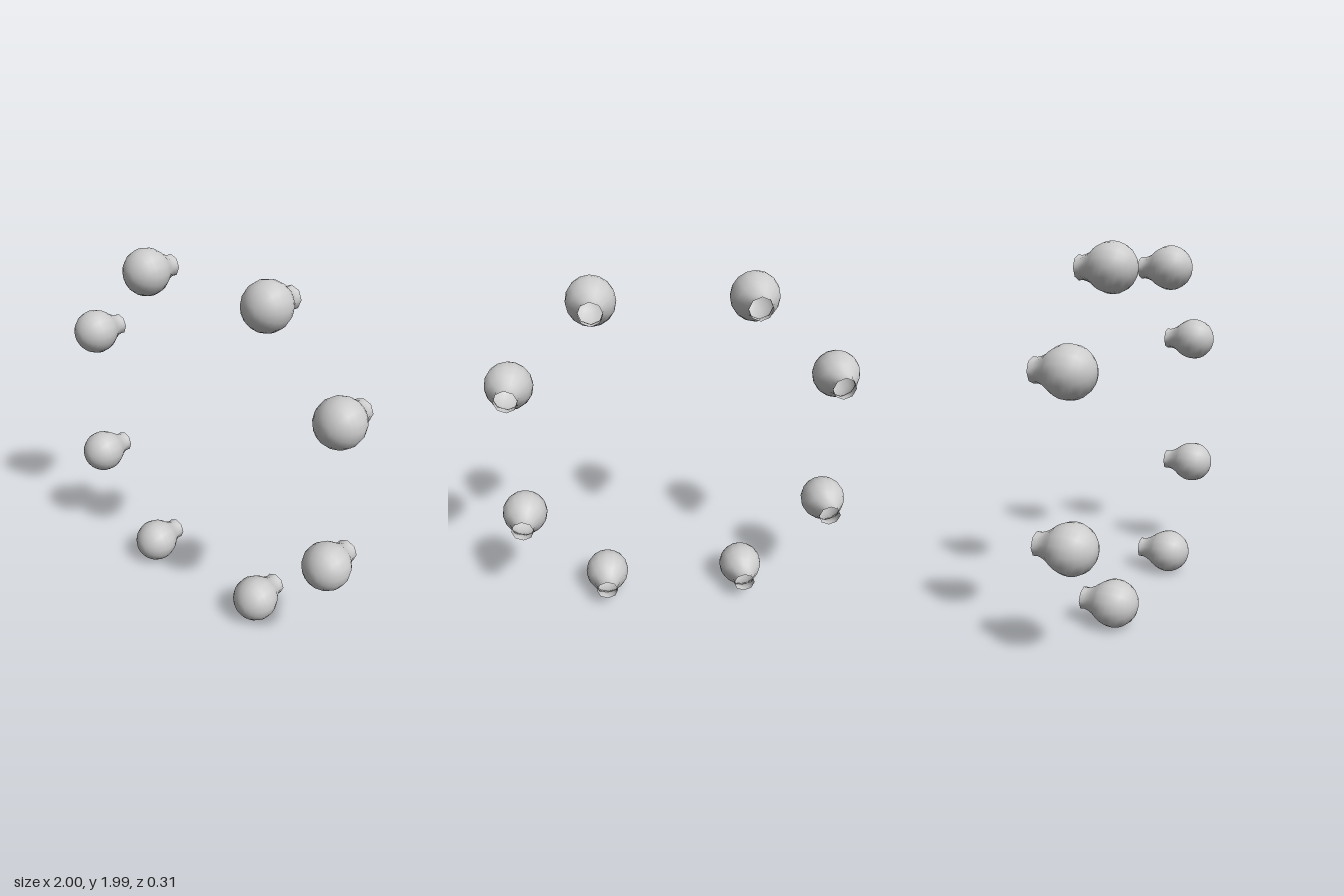
import * as THREE from 'three';
import { mergeVertices } from 'three/addons/utils/BufferGeometryUtils.js';

const SIDES = 16;
const RADIUS = 0.127;
const CENTRE_Z = 0.028;

// Round bulb facing +z, tapering into an open eight-sided neck at the back
function bulbGeometry() {
  const profile = [[0.062, -0.154], [0.06, -0.13], [0.066, -0.108], [0.078, -0.083], [0.098, -0.055]]
    .map(([r, z]) => new THREE.Vector2(r, z));
  const start = -0.5;
  for (let i = 0; i <= 8; i++) {
    const a = start + (Math.PI / 2 - start) * i / 8;
    profile.push(new THREE.Vector2(Math.max(0, RADIUS * Math.cos(a)), CENTRE_Z + RADIUS * Math.sin(a)));
  }
  let geo = new THREE.LatheGeometry(profile, SIDES);

  // Pull every second column in so the neck becomes an octagon
  const pos = geo.attributes.position;
  for (let i = 0; i < pos.count; i++) {
    const column = Math.floor(i / profile.length);
    if (column % 2 === 0) continue;
    const blend = THREE.MathUtils.clamp((-0.06 - pos.getY(i)) / 0.05, 0, 1);
    const s = 1 - blend * (1 - Math.cos(Math.PI / 8));
    pos.setXYZ(i, pos.getX(i) * s, pos.getY(i), pos.getZ(i) * s);
  }

  // Weld the seam for smooth shading
  geo.deleteAttribute('uv');
  geo.deleteAttribute('normal');
  geo = mergeVertices(geo, 1e-5);
  geo.rotateX(Math.PI / 2);
  geo.computeVertexNormals();
  return geo;
}

export function createModel() {
  const model = new THREE.Group();
  model.name = 'bulbRing';
  const geometry = bulbGeometry();
  const material = new THREE.MeshStandardMaterial({ color: 0xcccccc, side: THREE.DoubleSide });

  // Ring of eight bulbs
  const centres = [
    [0.42, 1.865], [0.87, 1.416], [0.87, 0.6], [0.42, 0.13],
    [-0.4, 0.13], [-0.873, 0.6], [-0.863, 1.416], [-0.4, 1.865],
  ];
  centres.forEach(([x, y], i) => {
    const bulb = new THREE.Mesh(geometry, material);
    bulb.name = `bulb${i + 1}`;
    bulb.position.set(x, y, 0);
    model.add(bulb);
  });
  return model;
}
